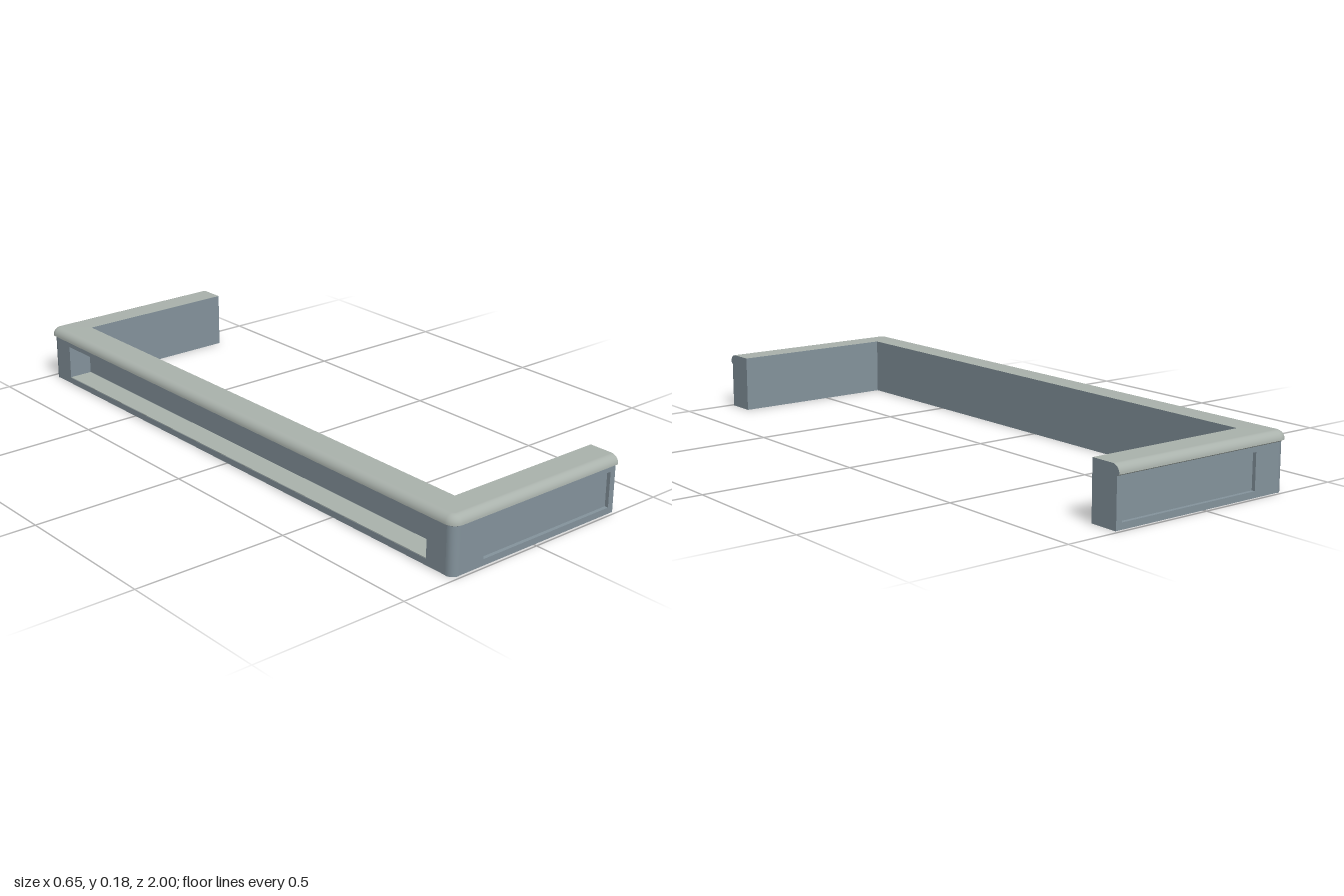
import * as THREE from 'three';

const X = 0.327;       // half length of the arms' direction
const R = 0.035;       // plan radius of the outer corners
const LIP = 0.009;     // overhang of the cap
const W = 0.105;       // width of the rail
const TOP = 0.182, WALL = 0.15;

// A station turns an inset d from the outer edge into a plan position [x, z]
const corner = (s) => {
  const list = [];
  for (let i = 0; i <= 8; i++) {
    const a = (s > 0 ? i : 8 - i) / 8 * Math.PI / 2;
    list.push((d) => {
      const c = Math.max(R, d), r = Math.max(R - d, 0);
      return [-X + c - r * Math.sin(a), s * (1 - c + r * Math.cos(a))];
    });
  }
  return list;
};
const armEnd = (s) => (d) => [X, s * (1 - d)];
const split = (d) => [-X + d, -0.4];

// Sweeps a profile of [inset, height] points along stations
function sweep(profile, stations) {
  const pos = [], index = [], n = profile.length;
  for (const st of stations) {
    for (const [d, y] of profile) {
      const [x, z] = st(d);
      pos.push(x, y, z);
    }
  }
  for (let i = 0; i < stations.length - 1; i++) {
    for (let j = 0; j < n - 1; j++) {
      const a = i * n + j, b = a + n;
      index.push(a, b, a + 1, b, b + 1, a + 1);
    }
  }
  const g = new THREE.BufferGeometry();
  g.setAttribute('position', new THREE.Float32BufferAttribute(pos, 3));
  g.setIndex(index);
  g.computeVertexNormals();
  return g;
}

export function createModel() {
  const model = new THREE.Group();
  const body = new THREE.MeshStandardMaterial({ name: 'blue grey', color: 0x84939c });
  const pale = new THREE.MeshStandardMaterial({ name: 'pale stone', color: 0xaab2ac });
  const add = (name, geometry, material, parent = model) => {
    const m = new THREE.Mesh(geometry, material);
    m.name = name;
    parent.add(m);
    return m;
  };

  const all = [armEnd(1), ...corner(1), ...corner(-1), armEnd(-1)];

  // Rounded cap with its lip
  const round = [];
  for (let i = 0; i <= 8; i++) {
    const a = i / 8 * Math.PI / 2;
    round.push([0.027 * (1 - Math.sin(a)), 0.155 + 0.027 * Math.cos(a)]);
  }
  add('cap', sweep([[W, TOP], ...round], all), pale);
  add('capLip', sweep([[0, 0.155], [LIP, WALL]], all), pale);

  // Inner wall, rounded outer corners and underside
  add('innerWall', sweep([[W, 0], [W, TOP]], all), body);
  for (const s of [1, -1]) add('outerCorner', sweep([[LIP, WALL], [LIP, 0]], corner(s)), body);
  const under = [[LIP, 0], [W, 0]];
  add('underside', sweep(under, [armEnd(1), ...corner(1), split]), body);
  add('paleUnderside', sweep(under, [split, ...corner(-1), armEnd(-1)]), pale);

  // Flat ends of the arms
  const section = [[W, 0], [W, TOP], ...round, [LIP, WALL], [LIP, 0]];
  for (const s of [1, -1]) {
    const shape = new THREE.Shape(section.map(([d, y]) => new THREE.Vector2(s * d, y)));
    const end = add('armEnd', new THREE.ShapeGeometry(shape), body);
    end.rotation.y = Math.PI / 2;
    end.position.set(X, 0, s);
  }

  // Outer wall with a recessed opening, facing local +z
  function recessedWall(name, x0, x1, h0, h1, depth) {
    const group = new THREE.Group();
    group.name = name;
    const rect = (C, a, b, c, d) => new C([[a, c], [b, c], [b, d], [a, d]].map((p) => new THREE.Vector2(...p)));
    const shape = rect(THREE.Shape, x0, x1, 0.001, WALL);
    shape.holes.push(rect(THREE.Path, h0, h1, 0.021, 0.134));
    add('frame', new THREE.ExtrudeGeometry(shape, { depth, bevelEnabled: false }), body, group);
    add('recessBack', new THREE.ShapeGeometry(rect(THREE.Shape, h0, h1, 0.021, 0.134)), body, group);
    model.add(group);
    return group;
  }

  const depth = 0.012;
  recessedWall('frontArmWall', -X + R, X, -0.2, 0.307, depth).position.z = 1 - LIP - depth;
  const back = recessedWall('backArmWall', -X, X - R, -0.307, 0.2, depth);
  back.rotation.y = Math.PI;
  back.position.z = -(1 - LIP - depth);

  // Long deep niche in the spine with a pale floor
  const niche = 0.08;
  const spine = recessedWall('spineWall', -1 + R, 1 - R, -0.89, 0.89, niche);
  spine.rotation.y = -Math.PI / 2;
  spine.position.x = -X + LIP + niche;
  add('nicheFloor', new THREE.BoxGeometry(1.78, 0.003, niche - 0.001), pale, spine)
    .position.set(0, 0.0215, niche / 2 - 0.0005);

  return model;
}
